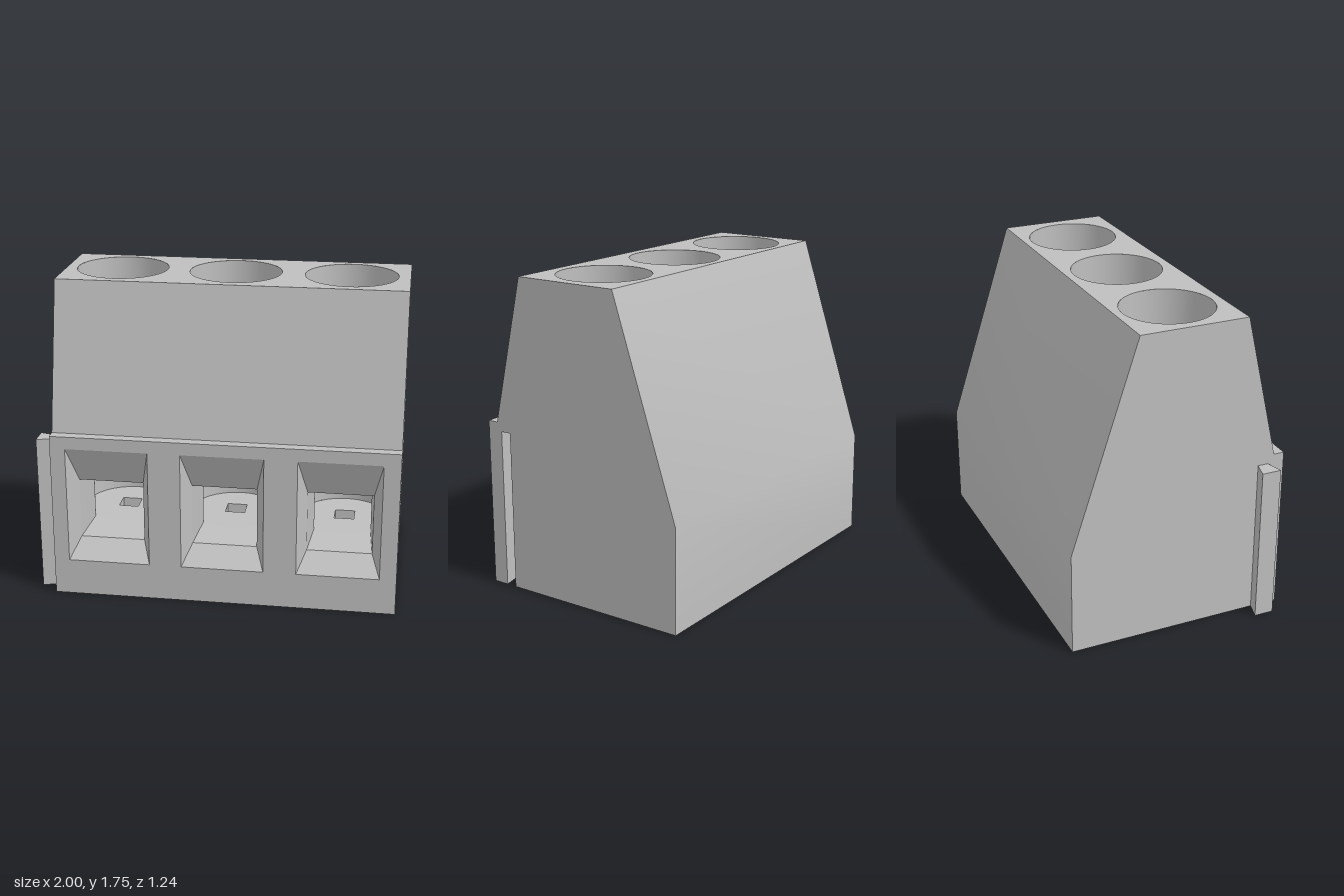
import * as THREE from 'three';
import { toCreasedNormals } from 'three/addons/utils/BufferGeometryUtils.js';

const plastic = new THREE.MeshStandardMaterial({ name: 'grey plastic', color: 0xbfbfbf, side: THREE.DoubleSide });

const LEFT = -0.905, RIGHT = 1, HALF_PI = Math.PI / 2;
const CELLS = [-0.5925, 0.0425, 0.68];
const WELL_R = 0.255, WELL_Z = 0.06, FLOOR = 0.32, PORT_TOP = 0.64, TOP = 1.755;

// Joins successive rings of [x, y, z] points with quads
function loft(rings, closed) {
  const v = [];
  for (let i = 0; i + 1 < rings.length; i++) {
    const r = rings[i], s = rings[i + 1], n = r.length;
    for (let j = 0; j < (closed ? n : n - 1); j++) {
      const k = (j + 1) % n;
      v.push(...r[j], ...r[k], ...s[k], ...r[j], ...s[k], ...s[j]);
    }
  }
  const g = new THREE.BufferGeometry();
  g.setAttribute('position', new THREE.Float32BufferAttribute(v, 3));
  return toCreasedNormals(g, 0.45);
}

const polygon = (pts) => new THREE.Shape(pts.map(([a, b]) => new THREE.Vector2(a, b)));
const rect = (x0, y0, x1, y1) => [[x0, y0], [x1, y0], [x1, y1], [x0, y1]];
const circle = (x, y) => new THREE.Shape().absarc(x, y, WELL_R, 0, Math.PI * 2);

function panel(shape, holes = []) {
  shape.holes.push(...holes);
  return new THREE.ShapeGeometry(shape, 32);
}

export function createModel() {
  const model = new THREE.Group();
  model.name = 'terminalBlock';
  const add = (name, geometry, parent = model) => {
    const mesh = new THREE.Mesh(geometry, plastic);
    mesh.name = name;
    parent.add(mesh);
  };

  // Housing outline as [z, y], from the front foot over the top to the back foot
  const outline = [[0.62, 0], [0.62, 0.94], [0.56, 0.94], [0.37, TOP], [-0.24, TOP], [-0.62, 0.59], [-0.62, 0]];
  const skin = (from, to) => loft([RIGHT, LEFT].map((x) => outline.slice(from, to).map(([z, y]) => [x, y, z])), false);
  add('upperFront', skin(1, 4));
  add('backWall', skin(4, 7));

  // Side walls, the left one notched for the groove
  add('rightSide', panel(polygon(outline)).rotateY(-HALF_PI).translate(LEFT, 0, 0));
  const notch = [[0.47, 0], [0.47, 0.89], [0.53, 0.89], [0.53, 0]];
  add('leftSide', panel(polygon([...outline, ...notch].map(([z, y]) => [-z, y])))
    .rotateY(HALF_PI).translate(RIGHT, 0, 0));

  // Front, top and bottom faces with their openings
  add('frontFace', panel(polygon(rect(LEFT, 0, RIGHT, 0.94)),
    CELLS.map((x) => polygon(rect(x - 0.228, 0.205, x + 0.228, 0.87)))).translate(0, 0, 0.62));
  add('topFace', panel(polygon(rect(LEFT, -0.37, RIGHT, 0.24)),
    CELLS.map((x) => circle(x, -WELL_Z))).rotateX(-HALF_PI).translate(0, TOP, 0));
  const pinHole = (x) => rect(x - 0.057, -0.02, x + 0.057, 0.095);
  const groove = [[1, 0.53], [0.905, 0.55], [0.905, 0.44], [1, 0.47]];
  add('bottomFace', panel(
    polygon([[LEFT, -0.62], [RIGHT, -0.62], ...[...groove].reverse(), [RIGHT, 0.62], [LEFT, 0.62]]),
    CELLS.map((x) => polygon(pinHole(x)))).rotateX(HALF_PI));

  // Dovetail groove and the matching rail on the opposite side
  add('grooveWalls', loft([0, 0.89].map((y) => groove.map(([x, z]) => [x, y, z])), false));
  add('grooveCap', panel(polygon(groove)).rotateX(HALF_PI).translate(0, 0.89, 0));
  const rail = polygon([[LEFT, 0.465], [LEFT, 0.525], [-1, 0.55], [-1, 0.44]]);
  add('dovetailRail', new THREE.ExtrudeGeometry(rail, { depth: 0.89, bevelEnabled: false })
    .rotateX(HALF_PI).translate(0, 0.89, 0));

  // One wire funnel, screw well and pin hole per terminal
  const gap = Math.asin(0.16 / WELL_R);
  for (const x of CELLS) {
    const cell = new THREE.Group();
    cell.name = 'terminal';
    model.add(cell);
    const ring = (w, y0, y1, z) => rect(x - w, y0, x + w, y1).map(([a, b]) => [a, b, z]);
    const mouth = ring(0.18, 0.305, 0.65, 0.51);
    add('wireFunnel', loft([ring(0.228, 0.205, 0.87, 0.62), mouth], true), cell);
    add('wireTunnel', loft([mouth, ring(0.16, FLOOR, PORT_TOP, 0.26)], true), cell);

    const wall = (y0, y1, start, sweep) =>
      new THREE.CylinderGeometry(WELL_R, WELL_R, y1 - y0, 48, 1, true, start, sweep)
        .translate(x, (y0 + y1) / 2, WELL_Z);
    add('screwWell', wall(PORT_TOP, TOP, 0, Math.PI * 2), cell);
    add('clampChamber', wall(FLOOR, PORT_TOP, gap, Math.PI * 2 - 2 * gap), cell);
    add('wellFloor', panel(circle(x, -WELL_Z), [polygon(pinHole(x).map(([a, z]) => [a, -z]))])
      .rotateX(-HALF_PI).translate(0, FLOOR, 0), cell);
    add('pinHole', loft([0, FLOOR].map((y) => pinHole(x).map(([a, z]) => [a, y, z])), true), cell);
  }
  return model;
}
